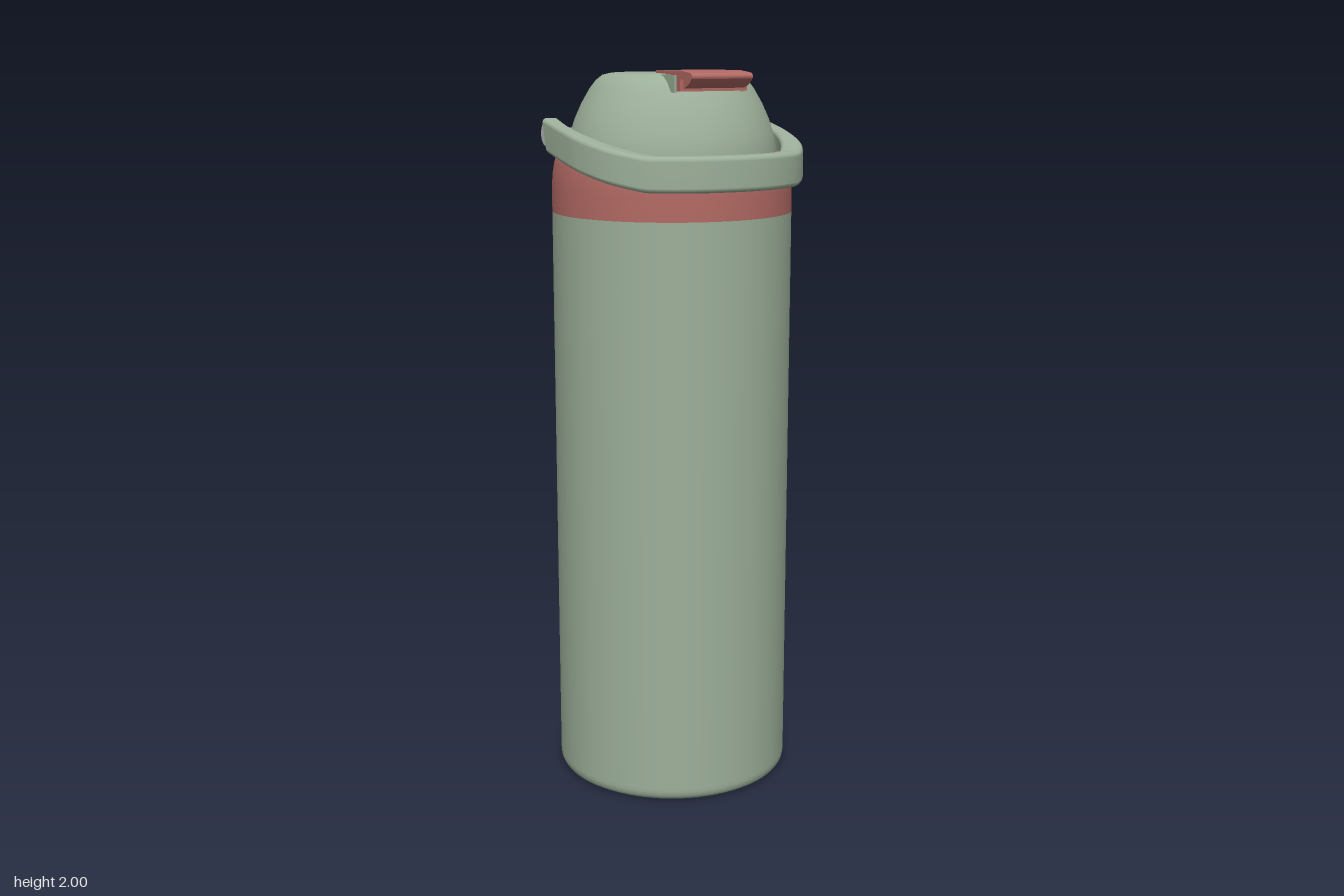
import * as THREE from 'three';

const V2 = (x, y) => new THREE.Vector2(x, y);
const CZ = -0.02; // centre of the round parts

export function createModel() {
  const group = new THREE.Group();
  const material = (name, color) => {
    const m = new THREE.MeshStandardMaterial({ color });
    m.name = name;
    return m;
  };
  const green = material('sage green', 0x9db09a);
  const red = material('dusty red', 0xb36a64);
  const steel = material('light grey', 0xbab9be);

  const add = (name, geometry, mat, x = 0, y = 0, z = 0) => {
    const mesh = new THREE.Mesh(geometry, mat);
    mesh.name = name;
    mesh.position.set(x, y, z);
    group.add(mesh);
    return mesh;
  };
  const lathe = (points) => new THREE.LatheGeometry(points.map((p) => V2(...p)), 72);

  // Tall body with a small rounded foot
  add('body', lathe([
    [0, 0.002], [0.305, 0.002], [0.312, 0.003], [0.322, 0.009], [0.328, 0.018],
    [0.33, 0.03], [0.33, 0.04], [0.33, 1.62],
  ]), green, 0, 0, CZ);
  const base = add('baseDisc', new THREE.CircleGeometry(0.21, 48), steel, 0, 0, CZ);
  base.rotation.x = Math.PI / 2;

  // Collar with a softly rounded shoulder
  add('collar', lathe([
    [0.33, 1.62], [0.33, 1.68], [0.328, 1.72], [0.323, 1.75], [0.318, 1.77],
    [0.311, 1.779], [0.306, 1.78], [0.25, 1.78],
  ]), red, 0, 0, CZ);

  // Domed lid with a flat crown
  const dome = add('domeLid', lathe([
    [0.285, 1.775], [0.283, 1.8], [0.276, 1.83], [0.263, 1.87], [0.245, 1.91],
    [0.222, 1.95], [0.205, 1.972], [0.187, 1.986], [0.165, 1.991], [0.155, 1.992], [0, 1.992],
  ]), green, 0, 0, CZ);
  dome.scale.set(1.015, 1, 0.975);

  // Flip button: curved side profile extruded across the lid
  const profile = new THREE.Shape();
  profile.moveTo(0.06, 1.985);
  profile.lineTo(0.15, 1.955);
  profile.lineTo(0.19, 1.953);
  profile.quadraticCurveTo(0.235, 1.955, 0.257, 1.98);
  profile.quadraticCurveTo(0.262, 1.99, 0.25, 1.995);
  profile.lineTo(0.2, 2);
  profile.lineTo(0.06, 2);
  const button = new THREE.ExtrudeGeometry(profile, { depth: 0.18, bevelEnabled: false, curveSegments: 8 });
  button.rotateY(-Math.PI / 2);
  button.translate(0.09, 0, 0);
  add('flipButton', button, red);
  add('buttonHinge', new THREE.BoxGeometry(0.2, 0.03, 0.08), red, 0, 1.963, 0.172);
  for (const s of [1, -1]) {
    add('hingeCheek', new THREE.BoxGeometry(0.006, 0.045, 0.07), green, s * 0.103, 1.967, 0.158);
  }

  add('carryHandle', handleGeometry(), green);

  // Pivot pins at the handle ends
  for (const s of [1, -1]) {
    const cap = add('pivotCap', new THREE.CylinderGeometry(0.032, 0.032, 0.022, 24), steel, s * 0.316, 1.83, -0.131);
    cap.rotation.z = Math.PI / 2;
    const axle = add('pivotAxle', new THREE.CylinderGeometry(0.016, 0.016, 0.08, 16), steel, s * 0.27, 1.83, -0.131);
    axle.rotation.z = Math.PI / 2;
  }
  return group;
}

// Bail handle: rounded rectangle swept between an inner and an outer outline
function handleGeometry() {
  const outline = (half) => new THREE.CatmullRomCurve3(
    [...half, ...half.slice(0, -1).reverse().map(([x, z]) => [-x, z])]
      .map(([x, z]) => new THREE.Vector3(x, 0, z)));
  const outer = outline([[0.332, -0.13], [0.333, -0.03], [0.327, 0.07], [0.296, 0.18], [0.225, 0.275], [0.12, 0.332], [0, 0.35]]);
  const inner = outline([[0.285, -0.125], [0.292, -0.03], [0.28, 0.07], [0.243, 0.155], [0.18, 0.235], [0.1, 0.283], [0, 0.299]]);

  // Cross-section, counter-clockwise, in units of width and height
  const section = [];
  const rx = 0.25, ry = 0.14;
  [[1, 1], [0, 1], [0, 0], [1, 0]].forEach(([u, v], corner) => {
    for (let k = 0; k <= 4; k++) {
      const a = (corner + k / 4) * Math.PI / 2;
      section.push([
        (u ? 1 - rx : rx) + rx * Math.cos(a),
        (v ? 1 - ry : ry) + ry * Math.sin(a),
      ]);
    }
  });

  const steps = 72, n = section.length;
  const positions = [], index = [];
  const ring = (i) => {
    const o = outer.getPoint(i / steps), p = inner.getPoint(i / steps);
    const rise = Math.max(0, 0.27 - o.z) * 0.205;
    for (const [u, v] of section) {
      positions.push(
        p.x + (o.x - p.x) * u,
        1.697 + rise + 0.093 * v,
        p.z + (o.z - p.z) * u - (rise / 0.08) * 0.025 * (v - 0.5));
    }
  };
  for (let i = 0; i <= steps; i++) ring(i);
  for (let i = 0; i < steps; i++) {
    for (let j = 0; j < n; j++) {
      const a = i * n + j, b = i * n + (j + 1) % n;
      index.push(a, b, a + n, b, b + n, a + n);
    }
  }
  // End caps
  for (const i of [0, steps]) {
    const start = positions.length / 3;
    ring(i);
    for (let j = 1; j < n - 1; j++) {
      if (i === 0) index.push(start, start + j + 1, start + j);
      else index.push(start, start + j, start + j + 1);
    }
  }
  const geometry = new THREE.BufferGeometry();
  geometry.setAttribute('position', new THREE.Float32BufferAttribute(positions, 3));
  geometry.setIndex(index);
  geometry.computeVertexNormals();
  return geometry;
}
